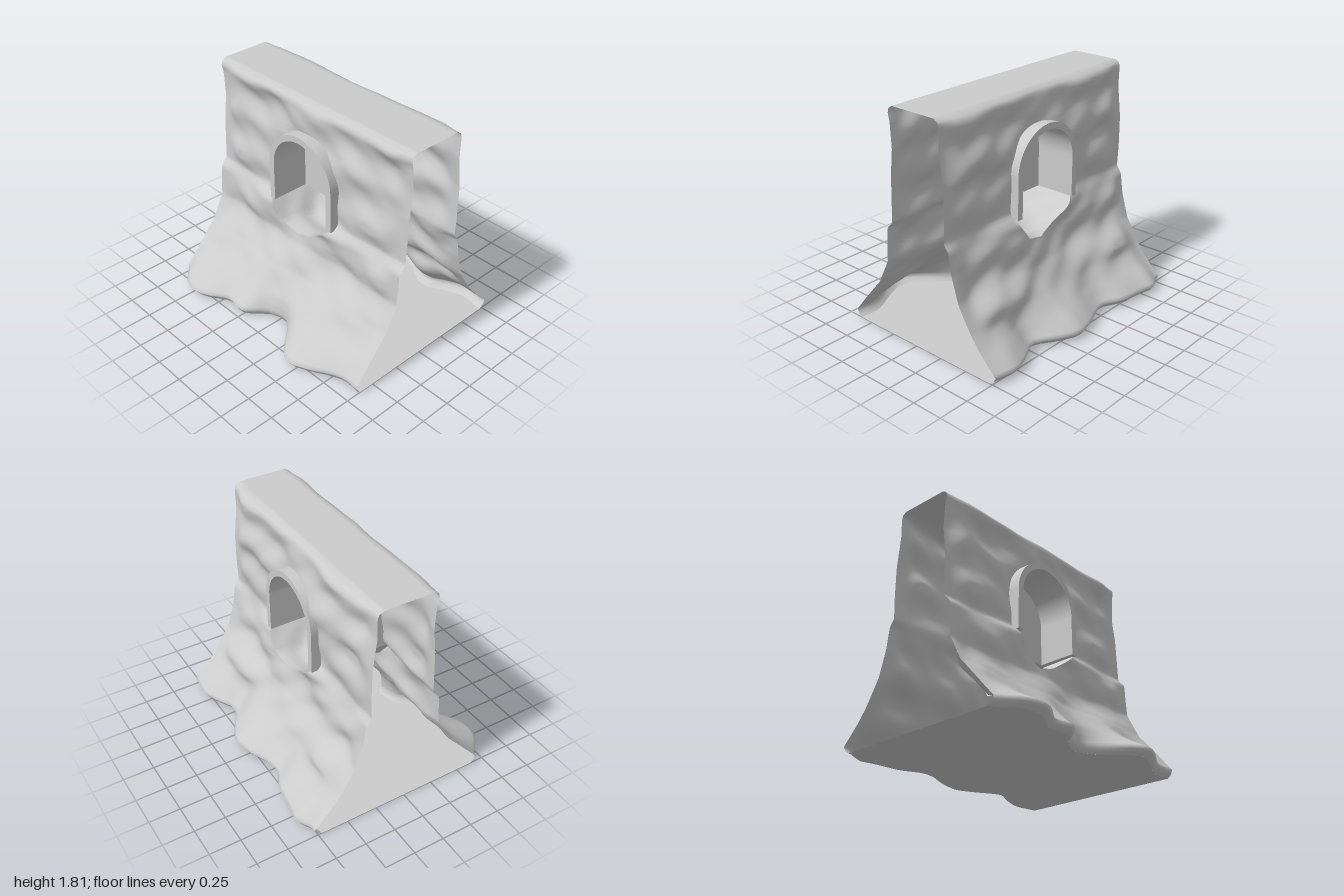
import * as THREE from 'three';
import { mergeGeometries, mergeVertices } from 'three/addons/utils/BufferGeometryUtils.js';

const stone = new THREE.MeshStandardMaterial({ color: 0xcccccc, side: THREE.DoubleSide });
const { lerp, clamp, smoothstep } = THREE.MathUtils;
const TOP = 1.81, SILL = 0.9, SPRING = 1.225;

// Linear lookup in rows of [key, ...values]
function lookup(table, t) {
  if (t <= table[0][0]) return table[0].slice(1);
  for (let i = 1; i < table.length; i++) {
    const a = table[i - 1], b = table[i];
    if (t <= b[0]) return a.slice(1).map((v, k) => lerp(v, b[k + 1], (t - a[0]) / (b[0] - a[0])));
  }
  return table[table.length - 1].slice(1);
}

// Grid surface from a rule (u, v) -> [x, y, z]
function surface(nu, nv, rule) {
  const pos = [], idx = [];
  for (let j = 0; j <= nv; j++)
    for (let i = 0; i <= nu; i++) pos.push(...rule(i / nu, j / nv));
  for (let j = 0; j < nv; j++)
    for (let i = 0; i < nu; i++) {
      const a = j * (nu + 1) + i, b = a + 1, c = a + nu + 1, d = c + 1;
      idx.push(a, b, d, a, d, c);
    }
  const g = new THREE.BufferGeometry();
  g.setAttribute('position', new THREE.Float32BufferAttribute(pos, 3));
  g.setIndex(idx);
  return g;
}

// Height -> shallowest and deepest z of each rock face
const frontDepth = [[0, 0.49, 0.78], [0.02, 0.51, 0.81], [0.06, 0.52, 0.84], [0.12, 0.51, 0.74],
  [0.2, 0.48, 0.63], [0.4, 0.32, 0.43], [0.6, 0.24, 0.31], [0.75, 0.23, 0.30], [0.86, 0.22, 0.30],
  [0.9, 0.21, 0.28], [0.93, 0.195, 0.25], [1.3, 0.18, 0.24], [1.5, 0.15, 0.24], [1.7, 0.16, 0.25],
  [1.75, 0.18, 0.24], [1.78, 0.18, 0.225], [1.8, 0.17, 0.2], [TOP, 0.15, 0.16]];
const backDepth = [[0, 0.62, 0.79], [0.02, 0.65, 0.82], [0.06, 0.68, 0.845], [0.12, 0.61, 0.79],
  [0.2, 0.54, 0.71], [0.3, 0.47, 0.63], [0.5, 0.37, 0.50], [0.7, 0.32, 0.43], [0.86, 0.315, 0.39],
  [0.9, 0.31, 0.37], [0.93, 0.305, 0.345], [1.1, 0.31, 0.36], [1.35, 0.30, 0.39], [1.6, 0.27, 0.36],
  [1.75, 0.28, 0.34], [1.78, 0.28, 0.32], [1.8, 0.27, 0.3], [TOP, 0.245, 0.26]];

// x -> z of the foot outline
const frontFoot = [[-1, 0.67], [-0.93, 0.73], [-0.85, 0.81], [-0.72, 0.85], [-0.6, 0.82], [-0.42, 0.69],
  [-0.27, 0.73], [-0.2, 0.7], [-0.12, 0.58], [0.05, 0.515], [0.15, 0.57], [0.3, 0.74], [0.38, 0.82],
  [0.46, 0.85], [0.6, 0.79], [0.78, 0.68], [0.88, 0.65], [1, 0.67]];
const backFoot = [[-1, 0.78], [-0.94, 0.78], [-0.86, 0.855], [-0.7, 0.82], [-0.5, 0.8], [-0.33, 0.715],
  [-0.2, 0.74], [-0.05, 0.81], [0.13, 0.85], [0.3, 0.77], [0.4, 0.7], [0.5, 0.675], [0.65, 0.76],
  [0.8, 0.815], [1, 0.78]];

// Rolling rock relief, 0 to 1, calming to a clean edge at both ends
function relief(x, y, p) {
  const n = 0.45 * Math.sin(5.2 * x + 4 * y + p)
    + 0.35 * Math.sin(18 * (y - 1.35)) * (1 - Math.cos(4.4 * x))
    + 0.3 * Math.sin(9 * x - 11 * y + 2 * p) + 0.15 * Math.sin(17 * x + 25 * y + p);
  const end = lerp(0.55, 0.22, smoothstep(y, 0.87, 0.93));
  return lerp(clamp(0.5 + 0.4 * n, 0, 1), end, smoothstep(Math.abs(x), 0.8, 0.99));
}

function faceZ(x, y, side) {
  const front = side > 0;
  const [lo, hi] = lookup(front ? frontDepth : backDepth, y);
  const outline = front ? frontFoot : backFoot;
  const foot = (lookup(outline, x - 0.03)[0] + lookup(outline, x + 0.03)[0]) / 2;
  const footN = front ? (foot - 0.52) / 0.32 : (foot - 0.68) / 0.165;
  let n = lerp(footN, relief(x, y, front ? 0.6 : 3.4), smoothstep(y, 0.06, 0.5));
  // Swollen lip under the niche
  const lip = Math.exp(-x * x * 6) * Math.exp(-(((y - 0.86) / 0.07) ** 2));
  n = lerp(n, 1.4, lip);
  return side * lerp(lo, hi, n);
}

// Opening: ragged hollow below the sill (mirrored on the back), arch above it
const hollow = [[0.68, -0.06, -0.06], [0.7, -0.18, 0.04], [0.73, -0.22, 0.1],
  [0.8, -0.27, 0.2], [SILL, -0.34, 0.32]];
function opening(y, side) {
  if (y <= SILL) {
    const [l, r] = lookup(hollow, y);
    return side > 0 ? [l, r] : [-r, -l];
  }
  const r = 0.315, h = Math.max(0, y - SPRING);
  const w = h < r ? Math.sqrt(r * r - h * h) : 0;
  return [-w, w];
}

// Rock face from the foot up and over to the middle of the wall top
function rockFace(side) {
  const halves = [0, 1].map(k => surface(30, 100, (u, v) => {
    const y = Math.min(v * 100 / 92, 1) * TOP, over = Math.max(0, (v - 0.92) / 0.08);
    const edge = opening(y, side);
    const x = k ? lerp(edge[1], 1, u) : lerp(-1, edge[0], u);
    return [x, y, lerp(faceZ(x, y, side), -0.05, over)];
  }));
  return mergeVertices(mergeGeometries(halves), 1e-4);
}

// Flat underside joining both feet
function base() {
  return surface(80, 2, (u, v) => {
    const x = lerp(-1, 1, u);
    return [x, 0, lerp(faceZ(x, 0, 1), faceZ(x, 0, -1), v)];
  });
}

// Rough gully joining the two hollows under the niche
function gully() {
  return surface(36, 16, (u, v) => {
    const s = 2 * u - 1, y = lerp(0.68, SILL, Math.abs(s)), k = s < 0 ? 0 : 1;
    const xf = opening(y, 1)[k], xb = opening(y, -1)[k];
    const swell = Math.sin(Math.PI * v) * (1 - Math.abs(s));
    const rough = swell * (0.01 + 0.03 * Math.sin(14 * v + 5 * s));
    return [lerp(xf, xb, v), y + rough, lerp(faceZ(xf, y, 1), faceZ(xb, y, -1), v)];
  });
}

// Arch surround, open at the bottom
function archFrame() {
  const R = 0.335, r = 0.285, s = new THREE.Shape();
  s.moveTo(R, SILL);
  s.lineTo(R, SPRING);
  s.absarc(0, SPRING, R, 0, Math.PI, false);
  s.lineTo(-R, SILL);
  s.lineTo(-r, SILL);
  s.lineTo(-r, SPRING);
  s.absarc(0, SPRING, r, Math.PI, 0, true);
  s.lineTo(r, SILL);
  return new THREE.ExtrudeGeometry(s, { depth: 0.695, bevelEnabled: false, curveSegments: 24 })
    .translate(0, 0, -0.4);
}

// One half of the panel closing the niche
function panelLeaf(side) {
  const r = 0.31, s = new THREE.Shape();
  s.moveTo(0, SILL);
  s.lineTo(side * r, SILL);
  s.lineTo(side * r, SPRING);
  s.absarc(0, SPRING, r, side > 0 ? 0 : Math.PI, Math.PI / 2, side < 0);
  return new THREE.ExtrudeGeometry(s, { depth: 0.05, bevelEnabled: false, curveSegments: 16 })
    .translate(0, 0, -0.07);
}

export function createModel() {
  const model = new THREE.Group();
  model.name = 'rockWallWithNiche';
  const add = (name, geometry) => {
    if (!geometry.attributes.normal) geometry.computeVertexNormals();
    const mesh = new THREE.Mesh(geometry, stone);
    mesh.name = name;
    model.add(mesh);
  };
  add('frontRockFace', rockFace(1));
  add('backRockFace', rockFace(-1));
  add('base', base());
  add('gully', gully());
  add('archFrame', archFrame());
  add('leftPanel', panelLeaf(1));
  add('rightPanel', panelLeaf(-1));
  return model;
}
